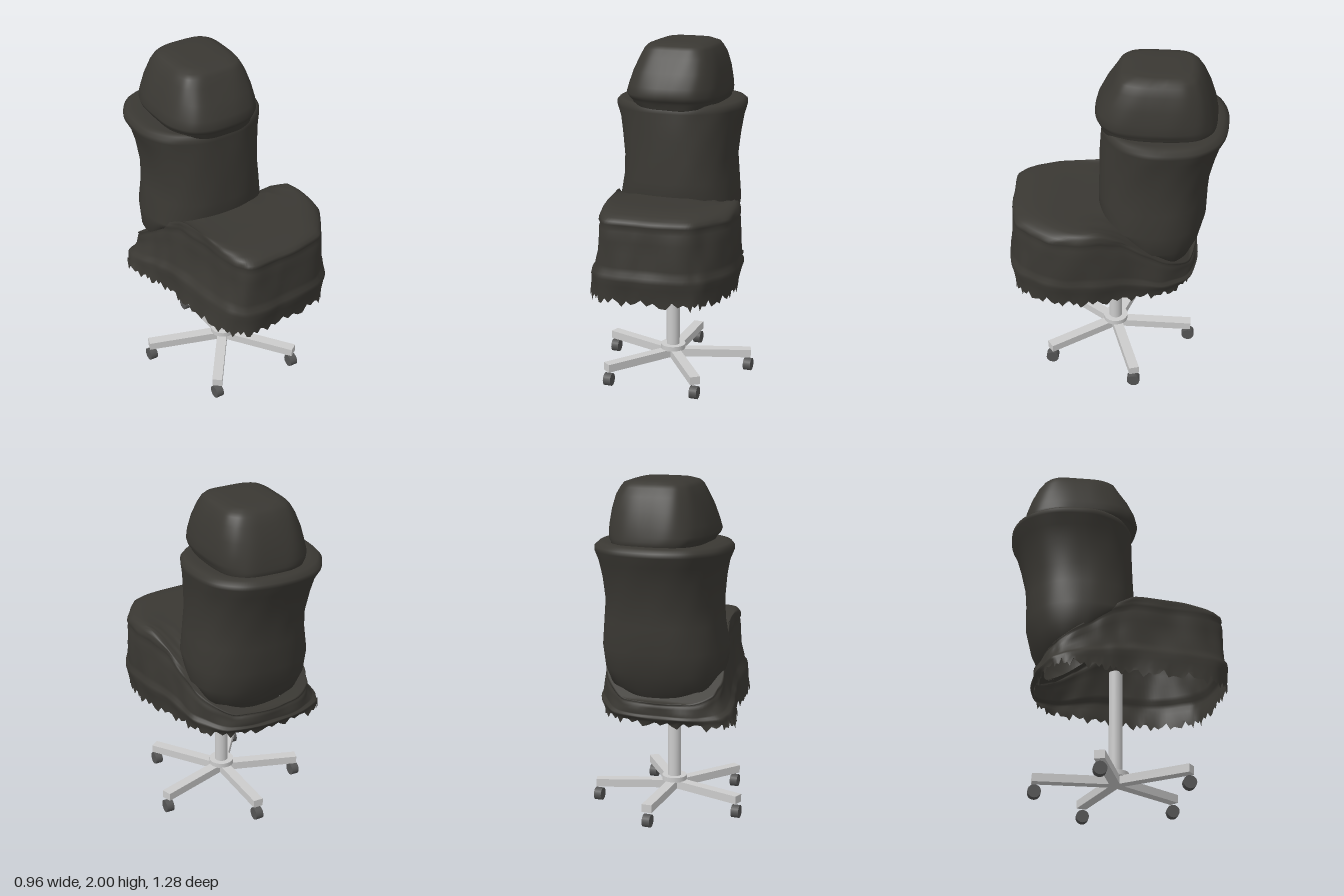
import * as THREE from 'three';

const N = 144; // points around each cross-section

const cover = new THREE.MeshStandardMaterial({ color: 0x3a3833, side: THREE.DoubleSide });
const metal = new THREE.MeshStandardMaterial({ color: 0xcccccc });
const rubber = new THREE.MeshStandardMaterial({ color: 0x555555 });

function part(name, geometry, material, parent) {
  const mesh = new THREE.Mesh(geometry, material);
  mesh.name = name;
  parent.add(mesh);
  return mesh;
}

// Skin a stack of closed rings, bottom to top.
function loft(rings) {
  const pos = [], index = [];
  for (const r of rings) for (const p of r) pos.push(p.x, p.y, p.z);
  for (let i = 0; i < rings.length - 1; i++) {
    for (let j = 0; j < N; j++) {
      const a = i * N + j, b = i * N + (j + 1) % N;
      index.push(a, b, b + N, a, b + N, a + N);
    }
  }
  const g = new THREE.BufferGeometry();
  g.setAttribute('position', new THREE.Float32BufferAttribute(pos, 3));
  g.setIndex(index);
  g.computeVertexNormals();
  return g;
}

// Rounded-square ring from its extents; a higher power is squarer.
function ring([y, x0, x1, z0, z1, power]) {
  const round = v => Math.sign(v) * Math.abs(v) ** (2 / power);
  return Array.from({ length: N }, (_, j) => {
    const a = (j / N) * Math.PI * 2;
    const wrinkle = 1 + 0.005 * Math.sin(5 * a + 9 * y) + 0.003 * Math.sin(11 * a - 17 * y);
    return new THREE.Vector3(
      (x0 + x1) / 2 + (x1 - x0) / 2 * round(Math.sin(a)) * wrinkle, y,
      (z0 + z1) / 2 + (z1 - z0) / 2 * round(Math.cos(a)) * wrinkle);
  });
}

// Smooth closed outline through [x, z] points.
function outline(points) {
  const curve = new THREE.CatmullRomCurve3(points.map(([x, z]) => new THREE.Vector3(x, 0, z)), true, 'centripetal');
  return Array.from({ length: N }, (_, j) => curve.getPoint(j / N));
}

// Height of the seat's upper edge: level in front, falling away beside the backrest.
function topHeight(z) {
  const { lerp, clamp } = THREE.MathUtils;
  if (z > -0.06) return lerp(1.05, 1.1, clamp((z + 0.06) / 0.12, 0, 1));
  return lerp(1.05, 0.76, clamp((-0.06 - z) / 0.39, 0, 1));
}

// Seat cover: a hollow skirt with a ragged hem, its top running in to the foot of the backrest.
function seatGeometry() {
  const low = outline([[0, 0.61], [0.3, 0.57], [0.38, 0.5], [0.45, 0.3], [0.44, 0.1], [0.36, -0.15],
    [0.31, -0.33], [0.15, -0.45], [-0.15, -0.465], [-0.42, -0.41], [-0.475, -0.33], [-0.44, -0.15],
    [-0.39, 0], [-0.37, 0.25], [-0.32, 0.5], [-0.22, 0.61]]);
  const high = outline([[0, 0.6], [0.28, 0.56], [0.38, 0.46], [0.46, 0.3], [0.45, 0.1], [0.37, -0.1],
    [0.31, -0.3], [0.14, -0.45], [-0.15, -0.47], [-0.35, -0.4], [-0.39, -0.32], [-0.37, -0.15],
    [-0.34, 0], [-0.29, 0.25], [-0.26, 0.48], [-0.2, 0.59]]);
  // Side rings: [height fraction, outward bulge]
  const sides = [[0, 0], [0.08, 0.003], [0.2, 0.014], [0.28, 0.024], [0.34, 0.024], [0.38, 0.01],
    [0.44, 0.012], [0.6, 0.01], [0.75, 0.007], [0.88, 0.004], [0.92, -0.006], [0.96, 0.004], [1, 0]];
  const rings = sides.map(([t, bulge], i) => low.map((p, j) => {
    const q = p.clone().lerp(high[j], Math.min(1, t * 1.6));
    const away = new THREE.Vector3(q.x, 0, q.z).normalize();
    const fold = 0.005 * Math.sin(j * 0.7) * Math.sin(t * 7 + j * 0.15);
    const hem = i === 0 ? 0.018 * Math.sin(j * 2.4) + 0.012 * Math.sin(j * 1.1) : 0;
    q.addScaledVector(away, bulge + fold);
    q.y = 0.635 + hem + t * (topHeight(q.z) - 0.635);
    return q;
  }));
  // Crowned top: [fraction of the way to the backrest, rise]
  const foot = ring([0, -0.35, 0.29, -0.43, 0.08, 2.4]);
  for (const [s, rise] of [[0.04, 0.016], [0.1, 0.03], [0.2, 0.042], [0.35, 0.045], [0.55, 0.036], [0.8, 0.027], [1, 0.022]]) {
    rings.push(high.map((p, j) => {
      const q = p.clone().lerp(foot[j], s);
      q.y = topHeight(q.z) + rise * THREE.MathUtils.smoothstep(q.z, -0.2, 0.15);
      return q;
    }));
  }
  return loft(rings);
}

// Waisted hollow backrest whose lower rim follows the seat; [y, xMin, xMax, zMin, zMax, squareness]
function backrestGeometry() {
  const rings = [
    [0.75, -0.31, 0.25, -0.42, 0.02, 2.4],
    [0.82, -0.35, 0.29, -0.46, 0.05, 2.4],
    [0.92, -0.385, 0.32, -0.505, 0.08, 2.4],
    [1.05, -0.39, 0.33, -0.535, 0.1, 2.4],
    [1.2, -0.365, 0.315, -0.535, 0.1, 2.4],
    [1.32, -0.36, 0.305, -0.545, 0.095, 2.4],
    [1.45, -0.375, 0.315, -0.575, 0.09, 2.4],
    [1.55, -0.4, 0.33, -0.61, 0.085, 2.3],
    [1.61, -0.428, 0.345, -0.64, 0.08, 2.3],
    [1.635, -0.428, 0.345, -0.64, 0.08, 2.3],
    [1.655, -0.41, 0.325, -0.61, 0.065, 2.3],
    [1.66, -0.36, 0.28, -0.575, 0.05, 2.4],
    [1.65, -0.24, 0.2, -0.53, 0.04, 2.8],
  ].map(ring);
  for (const p of rings.flat()) p.y = Math.max(p.y, topHeight(p.z) - 0.02);
  return loft(rings);
}

export function createModel() {
  const model = new THREE.Group();
  model.name = 'officeChair';

  part('seatCover', seatGeometry(), cover, model);
  part('backrest', backrestGeometry(), cover, model);

  // Tapered headrest with a tucked-in underside
  part('headrest', loft([
    [1.62, -0.25, 0.205, -0.545, 0.07, 3],
    [1.64, -0.29, 0.235, -0.565, 0.085, 3],
    [1.665, -0.295, 0.235, -0.575, 0.085, 3],
    [1.685, -0.315, 0.25, -0.575, 0.105, 2.9],
    [1.71, -0.325, 0.255, -0.57, 0.117, 2.9],
    [1.76, -0.31, 0.25, -0.56, 0.105, 3],
    [1.84, -0.285, 0.235, -0.535, 0.065, 3.2],
    [1.92, -0.25, 0.21, -0.5, 0.015, 3.5],
    [1.965, -0.225, 0.185, -0.47, -0.01, 3.7],
    [1.985, -0.205, 0.17, -0.45, -0.035, 3.8],
    [2.0, -0.16, 0.125, -0.42, -0.085, 3.8],
    [2.0, -0.08, 0.05, -0.32, -0.18, 3],
    [2.0, -0.015, -0.015, -0.25, -0.25, 3],
  ].map(ring)), cover, model);

  // Pole and hub
  part('pole', new THREE.CylinderGeometry(0.04, 0.04, 0.65, 24), metal, model).position.y = 0.465;
  part('hub', new THREE.CylinderGeometry(0.075, 0.075, 0.03, 24), metal, model).position.y = 0.157;

  // Five-armed base, one arm pointing straight back, wheels all rolling forwards
  const base = new THREE.Group();
  base.name = 'starBase';
  model.add(base);
  for (let i = 0; i < 5; i++) {
    const a = Math.PI + (i / 5) * Math.PI * 2;
    const dx = Math.sin(a), dz = Math.cos(a);
    const arm = part('baseArm', new THREE.BoxGeometry(0.06, 0.048, 0.475), metal, base);
    arm.position.set(dx * 0.2375, 0.12, dz * 0.2375);
    arm.rotation.y = a;
    const wheel = part('casterWheel', new THREE.CylinderGeometry(0.038, 0.038, 0.046, 20), rubber, base);
    wheel.rotation.z = Math.PI / 2;
    wheel.position.set(dx * 0.46, 0.042, dz * 0.46);
  }
  return model;
}
